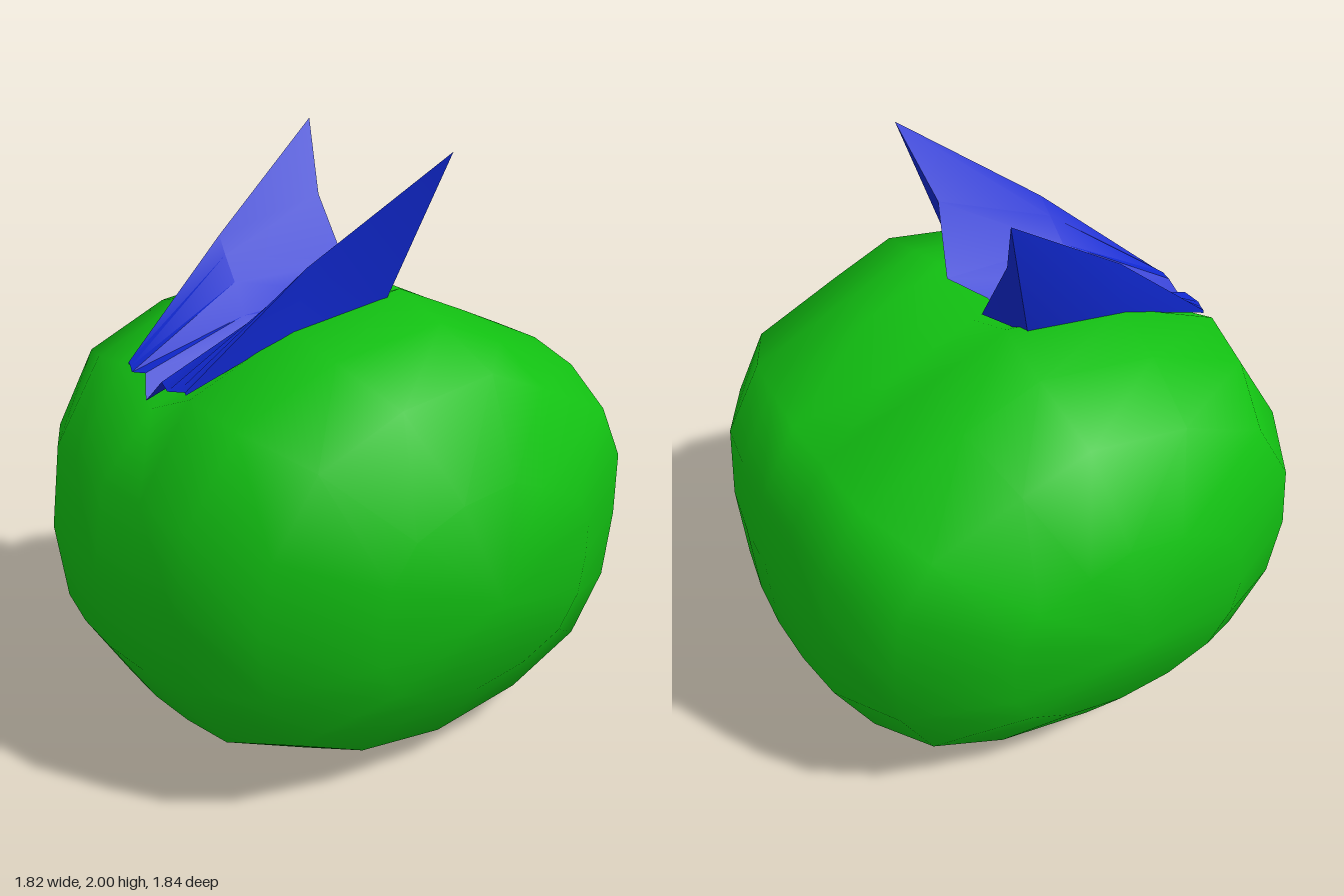
import * as THREE from 'three';
import { mergeVertices, toCreasedNormals } from 'three/addons/utils/BufferGeometryUtils.js';

// Skin a list of cross-sections (arrays of [x, y, z]) with quads.
function loft(rows, closed) {
  const n = rows[0].length;
  const index = [];
  for (let i = 0; i < rows.length - 1; i++) {
    for (let j = 0; j < (closed ? n : n - 1); j++) {
      const k = (j + 1) % n;
      const a = i * n + j, b = i * n + k, c = a + n, d = b + n;
      index.push(a, b, d, a, d, c);
    }
  }
  const geo = new THREE.BufferGeometry();
  geo.setAttribute('position', new THREE.Float32BufferAttribute(rows.flat(2), 3));
  geo.setIndex(index);
  const welded = mergeVertices(geo, 1e-4);
  welded.computeVertexNormals();
  return welded;
}

const MID = 0.73; // height of the widest level

// Side outline of the body as [z, y], front to bottom to back to top
const PROFILE = [
  [0.68, 1.33], [0.87, 1.03], [0.915, 0.73], [0.88, 0.46],
  [0.72, 0.21], [0.39, 0.06], [-0.02, 0], [-0.43, 0.06],
  [-0.75, 0.21], [-0.89, 0.45], [-0.91, 0.73], [-0.89, 1.01],
  [-0.76, 1.25], [-0.4, 1.42], [-0.13, 1.54], [0.3, 1.485],
];

// Half the body's sections: x, bottom, top, back, front
const SECTIONS = [
  [0, 0, 1.54, -0.92, 0.915],
  [0.2, 0, 1.54, -0.91, 0.9],
  [0.4, 0.005, 1.48, -0.88, 0.86],
  [0.65, 0.11, 1.39, -0.75, 0.72],
  [0.83, 0.37, 1.1, -0.43, 0.41],
  [0.91, MID, MID, -0.0, 0.0],
];

function bodySection([x, bottom, top, back, front], side) {
  return PROFILE.map(([z, y]) => {
    // groove along the middle of the top
    const py = x === 0 && y > 1.3 ? y - 0.09 : y;
    const ny = py > MID
      ? MID + (py - MID) * (top - MID) / 0.81
      : MID + (py - MID) * (MID - bottom) / MID;
    const nz = z > 0 ? z * front / 0.915 : z * back / -0.91;
    // the body is a little wider towards the top
    return [side * x * (1 + 0.11 * (ny - MID)), ny, nz];
  });
}

// Half sections of the crest, centre valley out to the outer foot
const OUTER_FOOT = [0.235, 1.515, -0.06];
const CREST = [
  [[0, 1.27, 0.7], [0.05, 1.34, 0.67], [0.11, 1.33, 0.685],
    [0.145, 1.335, 0.67], [0.175, 1.34, 0.66], [0.175, 1.33, 0.66]],
  [[0, 1.405, 0.3], [0.05, 1.46, 0.3], [0.13, 1.55, 0.28],
    [0.2, 1.625, 0.27], [0.25, 1.68, 0.26], [0.235, 1.48, 0.3]],
  [[0, 1.46, -0.035], [0.05, 1.48, -0.05], [0.12, 1.55, -0.16],
    [0.23, 1.77, -0.13], [0.38, 2.0, -0.2], OUTER_FOOT],
  // closes the back of each horn
  [[0, 1.46, -0.035], [0.05, 1.48, -0.05], OUTER_FOOT,
    OUTER_FOOT, OUTER_FOOT, OUTER_FOOT],
];

function mirrored(half) {
  const other = half.slice(1).reverse().map(([x, y, z]) => [-x, y, z]);
  return [...other, ...half];
}

export function createModel() {
  const model = new THREE.Group();
  model.name = 'hornedBlob';

  // Rounded body
  const rows = [
    ...SECTIONS.slice(1).reverse().map((s) => bodySection(s, -1)),
    ...SECTIONS.map((s) => bodySection(s, 1)),
  ];
  const body = new THREE.Mesh(
    loft(rows, true),
    new THREE.MeshStandardMaterial({ color: 0x12c012 }),
  );
  body.name = 'body';
  model.add(body);

  // V-shaped crest with two swept-back horns
  const crest = new THREE.Mesh(
    toCreasedNormals(loft(CREST.map(mirrored), false), 0.8),
    new THREE.MeshStandardMaterial({ color: 0x1028d0, side: THREE.DoubleSide }),
  );
  crest.name = 'hornCrest';
  model.add(crest);

  return model;
}
